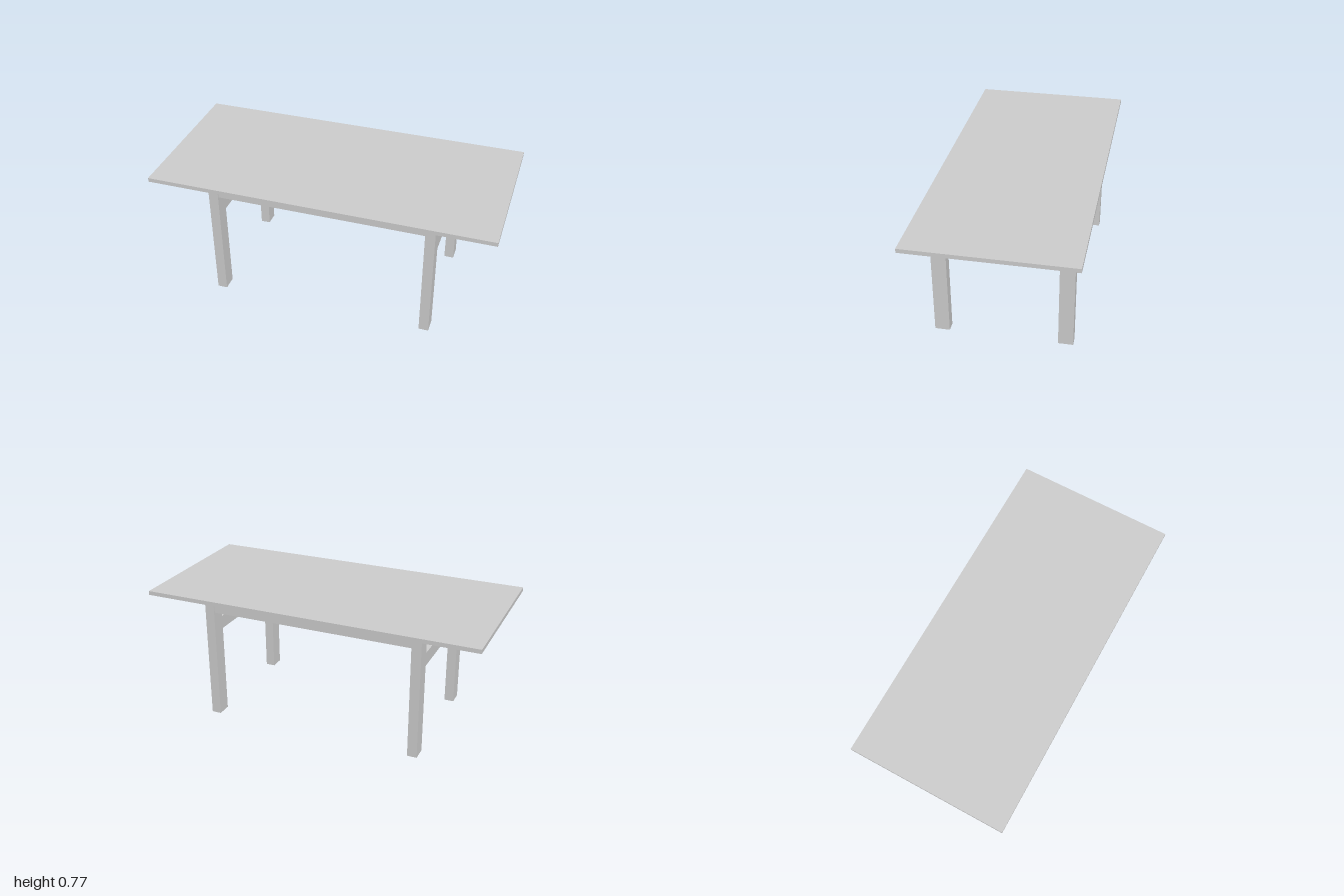
import * as THREE from 'three';

export function createModel() {
  const table = new THREE.Group();
  table.name = 'table';
  const material = new THREE.MeshStandardMaterial({ color: 0xcccccc, flatShading: true });

  // Box given by its lower and upper limits on each axis
  function addBox(name, [x0, x1], [y0, y1], [z0, z1]) {
    const mesh = new THREE.Mesh(new THREE.BoxGeometry(x1 - x0, y1 - y0, z1 - z0), material);
    mesh.position.set((x0 + x1) / 2, (y0 + y1) / 2, (z0 + z1) / 2);
    mesh.name = name;
    table.add(mesh);
  }
  const mirror = ([a, b], s) => (s > 0 ? [a, b] : [-b, -a]);

  const top = 0.767, under = 0.743;
  const legX = [0.605, 0.662], legZ = [0.314, 0.4];

  addBox('tabletop', [-1, 1], [under, top], [-0.468, 0.468]);

  // Four rectangular legs
  for (const sx of [1, -1]) {
    for (const sz of [1, -1]) {
      addBox(`${sz > 0 ? 'front' : 'back'}${sx > 0 ? 'Left' : 'Right'}Leg`,
        mirror(legX, sx), [0, under], mirror(legZ, sz));
    }
  }

  // Long aprons under the top, set just behind the outer leg faces
  for (const s of [1, -1]) {
    addBox(s > 0 ? 'frontApron' : 'backApron',
      [-legX[0], legX[0]], [0.667, under], mirror([0.335, 0.392], s));
  }

  // Lower end rails, flush with the legs
  for (const s of [1, -1]) {
    addBox(s > 0 ? 'leftRail' : 'rightRail',
      mirror(legX, s), [0.538, 0.616], [-legZ[0], legZ[0]]);
  }

  return table;
}
